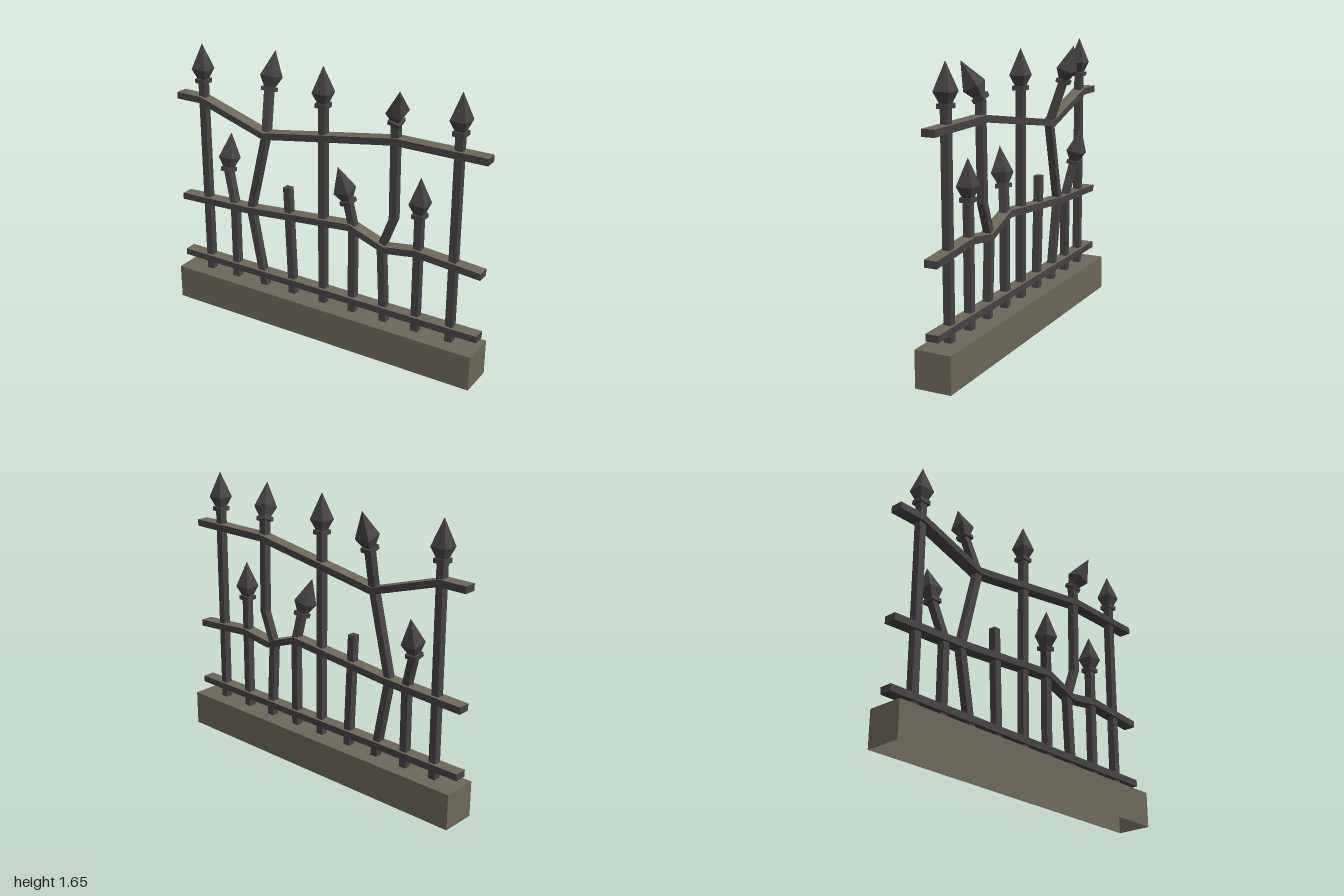
import * as THREE from 'three';

const Z = 0.02; // depth at which the fence stands on the plinth

// Sweep a rectangle through points. u and v span the section; the +u side can take a second material.
function sweep(points, u, v, materials) {
  const pos = [];
  const rings = points.map(([x, y, z = Z]) =>
    [[1, 1], [-1, 1], [-1, -1], [1, -1]].map(([a, b]) =>
      new THREE.Vector3(x, y, z).addScaledVector(u, a).addScaledVector(v, b)));
  const quad = (a, b, c, d) => [a, b, c, a, c, d].forEach(p => pos.push(p.x, p.y, p.z));
  const first = rings[0], last = rings[rings.length - 1];
  quad(first[0], first[3], first[2], first[1]);
  quad(...last);
  let split = 0;
  for (let k = 0; k < 4; k++) {
    if (k === 3) split = pos.length / 3;
    for (let i = 0; i + 1 < rings.length; i++) {
      const n = (k + 1) % 4;
      quad(rings[i][k], rings[i][n], rings[i + 1][n], rings[i + 1][k]);
    }
  }
  const g = new THREE.BufferGeometry();
  g.setAttribute('position', new THREE.Float32BufferAttribute(pos, 3));
  g.computeVertexNormals();
  g.addGroup(0, split, 0);
  g.addGroup(split, pos.length / 3 - split, 1);
  return new THREE.Mesh(g, materials);
}

export function createModel() {
  const model = new THREE.Group();
  model.name = 'brokenFence';
  const iron = new THREE.MeshStandardMaterial({ color: 0x474345, flatShading: true });
  iron.name = 'dark iron';
  const stone = new THREE.MeshStandardMaterial({ color: 0x6d685a, flatShading: true, side: THREE.DoubleSide });
  stone.name = 'olive stone';

  // Stone plinth, hollow underneath
  const box = new THREE.BoxGeometry(2, 0.21, 0.21);
  const index = Array.from(box.index.array);
  index.splice(18, 6);
  box.setIndex(index);
  box.clearGroups();
  const plinth = new THREE.Mesh(box, stone);
  plinth.name = 'plinth';
  plinth.position.set(0, 0.105, Z);
  model.add(plinth);

  // Rails, with dusty upper faces
  const rails = {
    bottomRail: [[-1, 0.286], [1, 0.286]],
    middleRail: [[-1, 0.67], [-0.5, 0.69], [0.19, 0.753], [0.41, 0.672], [0.61, 0.702], [1, 0.67]],
    topRail: [[-1, 1.322], [-0.83, 1.322], [-0.39, 1.183], [0.46, 1.322], [1, 1.322]],
  };
  for (const [name, pts] of Object.entries(rails)) {
    const rail = sweep(pts, new THREE.Vector3(0, 0.02, 0), new THREE.Vector3(0, 0, 0.037), [iron, stone]);
    rail.name = name;
    model.add(rail);
  }

  // Four-sided spearhead on a square collar
  const r = Math.SQRT2;
  const spearGeo = new THREE.LatheGeometry(
    [[0, 0], [0.023 * r, 0], [0.047 * r, 0.062], [0, 0.212]].map(p => new THREE.Vector2(...p)), 4, Math.PI / 4);
  const collarGeo = new THREE.BoxGeometry(0.07, 0.025, 0.07);

  function addFinial(name, at, lean) {
    const finial = new THREE.Group();
    finial.name = name;
    const collar = new THREE.Mesh(collarGeo, iron);
    collar.name = 'collar';
    const spear = new THREE.Mesh(spearGeo, iron);
    spear.name = 'spearhead';
    spear.position.y = 0.01;
    finial.add(collar, spear);
    finial.position.set(...at);
    finial.quaternion.setFromUnitVectors(new THREE.Vector3(0, 1, 0), new THREE.Vector3(...lean).normalize());
    model.add(finial);
  }

  // Posts: path from the plinth upward, then the direction of the finial
  const up = [0, 1, 0];
  const posts = [
    ['leftPost', [[-0.826, 0.21], [-0.826, 1.433, Z]], up],
    ['centrePost', [[0, 0.21], [0, 1.433, Z]], up],
    ['rightPost', [[0.826, 0.21], [0.826, 1.433, Z]], up],
    ['shortPost', [[0.612, 0.21], [0.612, 0.918, Z]], up],
    ['leftBentShortPost', [[-0.625, 0.21], [-0.625, 0.69], [-0.69, 0.895, -0.01]], [-0.005, 0.21, -0.045]],
    ['leftBentPost', [[-0.415, 0.21], [-0.505, 0.69], [-0.385, 1.183], [-0.413, 1.432, -0.058]], [0.002, 0.21, -0.065]],
    ['rightBentShortPost', [[0.2, 0.21], [0.2, 0.75], [0.175, 0.907, 0.04]], [-0.04, 0.205, 0.042]],
    ['rightBentPost', [[0.41, 0.21], [0.385, 0.675], [0.457, 0.865], [0.457, 1.43, 0.027]], [0.06, 0.195, 0.083]],
    ['snappedPost', [[-0.212, 0.21], [-0.24, 0.89]], null],
  ];
  for (const [name, path, lean] of posts) {
    const post = sweep(path, new THREE.Vector3(0, 0, 0.022), new THREE.Vector3(0.022, 0, 0), [iron, iron]);
    post.name = name;
    model.add(post);
    if (lean) addFinial(name + 'Finial', path[path.length - 1], lean);
  }
  return model;
}
